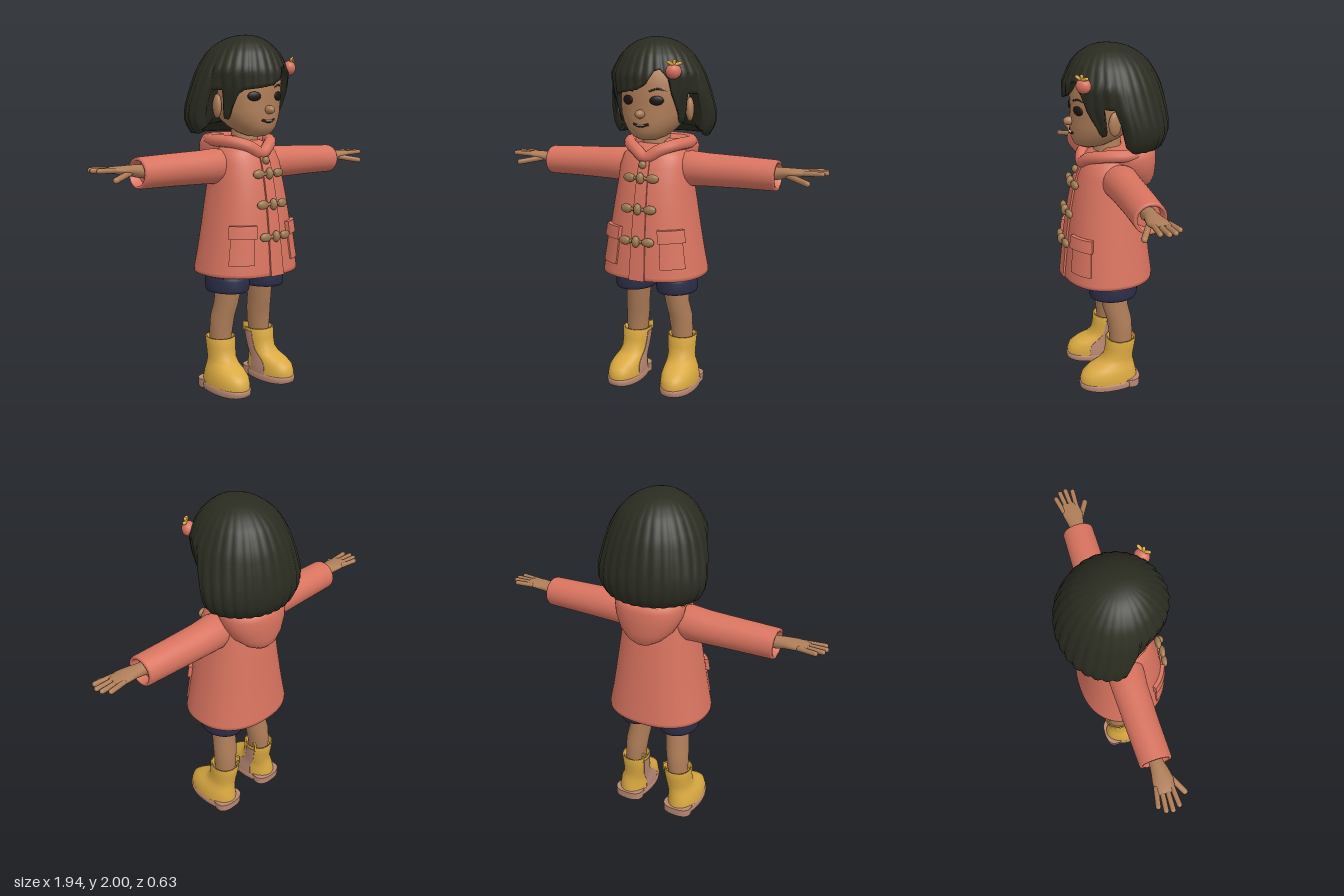
import * as THREE from 'three';

const mat = (name, color) => {
  const m = new THREE.MeshStandardMaterial({ color });
  m.name = name;
  return m;
};
const V = (x, y, z) => new THREE.Vector3(x, y, z);
const lerp = THREE.MathUtils.lerp;

// Interpolate a table of rows by its first column
function sample(rows, t) {
  let i = 0;
  while (i < rows.length - 2 && t > rows[i + 1][0]) i++;
  const a = rows[i], b = rows[i + 1];
  const k = THREE.MathUtils.clamp((t - a[0]) / (b[0] - a[0]), 0, 1);
  return a.map((v, j) => lerp(v, b[j], k));
}

// Point on a cross-section row [y, centre x, half width, front z, back z]; angle 0 faces +z
function ringPoint([y, cx, rx, zf, zb], phi, power = 1, off = 0) {
  const s = Math.sin(phi), c = Math.cos(phi);
  const f = (v) => Math.sign(v) * Math.abs(v) ** power;
  return V(cx + (rx + off) * f(s), y, (zf + zb) / 2 + ((zf - zb) / 2 + off) * f(c));
}

// Skin a grid of points, wrapping round in the second direction
function skin(rings, caps = true) {
  const pos = [], idx = [], n = rings[0].length;
  const addRing = (r) => r.forEach((p) => pos.push(p.x, p.y, p.z));
  rings.forEach(addRing);
  for (let i = 0; i < rings.length - 1; i++) for (let j = 0; j < n; j++) {
    const a = i * n + j, b = i * n + (j + 1) % n;
    idx.push(a, b, b + n, a, b + n, a + n);
  }
  if (caps) [rings[0], rings[rings.length - 1]].forEach((r, e) => {
    const base = pos.length / 3, mid = V(0, 0, 0);
    addRing(r);
    r.forEach((p) => mid.addScaledVector(p, 1 / n));
    pos.push(mid.x, mid.y, mid.z);
    for (let j = 0; j < n; j++) {
      const a = base + j, b = base + (j + 1) % n;
      idx.push(base + n, ...(e ? [a, b] : [b, a]));
    }
  });
  const g = new THREE.BufferGeometry();
  g.setAttribute('position', new THREE.Float32BufferAttribute(pos, 3));
  g.setIndex(idx);
  g.computeVertexNormals();
  return g;
}
const loft = (rows, power = 1, n = 40) => skin(rows.map((r) =>
  Array.from({ length: n }, (_, j) => ringPoint(r, j / n * Math.PI * 2, power))));

// Thin curved panel lying on a lofted surface
function panel(rows, power, phi0, phi1, y0, y1, thick) {
  const g = new THREE.BoxGeometry(1, 1, 1, 10, 12, 1), p = g.attributes.position;
  for (let i = 0; i < p.count; i++) {
    const y = lerp(y0, y1, p.getY(i) + 0.5);
    const q = ringPoint(sample(rows, y), lerp(phi0, phi1, p.getX(i) + 0.5), power, p.getZ(i) > 0 ? thick : -0.01);
    p.setXYZ(i, q.x, q.y, q.z);
  }
  g.computeVertexNormals();
  return g;
}
const ball = (x, y, z, rx, ry, rz, turn = 0) =>
  new THREE.SphereGeometry(1, 24, 16).scale(rx, ry, rz).rotateY(turn).translate(x, y, z);
function limb(a, b, r) {
  const d = b.clone().sub(a), g = new THREE.CapsuleGeometry(r, d.length(), 5, 12);
  g.applyQuaternion(new THREE.Quaternion().setFromUnitVectors(V(0, 1, 0), d.clone().normalize()));
  const m = a.clone().add(b).multiplyScalar(0.5);
  return g.translate(m.x, m.y, m.z);
}
const tube = (pts, r, closed = false) =>
  new THREE.TubeGeometry(new THREE.CatmullRomCurve3(pts, closed), 48, r, 10, closed);

// Hair outline by sqrt of depth below the crown: [d, half width, front z, back z]
const HAIR = [[0, 0, 0.03, 0.03], [0.14, 0.1, 0.125, -0.09], [0.22, 0.15, 0.17, -0.145], [0.316, 0.205, 0.218, -0.205],
  [0.447, 0.262, 0.262, -0.262], [0.55, 0.293, 0.262, -0.293], [0.632, 0.312, 0.225, -0.31], [0.69, 0.308, 0.2, -0.308], [0.735, 0.268, 0.19, -0.28]];
// Lower edge of the hair by angle in degrees, for each side of the face
const HEM_SIDE = [[50, 1.6], [53, 1.54], [60, 1.55], [65, 1.7], [76, 1.7], [80, 1.5], [90, 1.465], [180, 1.46]];
const HEM_RIGHT = [[0, 1.725], [20, 1.71], [38, 1.7], [45, 1.68], ...HEM_SIDE];
const HEM_LEFT = [[0, 1.725], [10, 1.75], [20, 1.82], [27, 1.83], [38, 1.77], ...HEM_SIDE];

function hairGeometry() {
  const n = 180, rows = 26, rings = [];
  const point = (phi, y, v, shrink) => {
    const [, w, zf, zb] = sample(HAIR, Math.sqrt(Math.max(0, 2 - y)));
    const k = THREE.MathUtils.smoothstep(Math.abs(phi), 1.1, 1.6);
    const rx = lerp(Math.min(w, 0.26 - (1.8 - y) * 0.15), w, k);
    const r = shrink * (1 + 0.035 * v * (Math.abs(Math.cos(phi * 15)) - 0.7));
    return V(rx * r * Math.sin(phi), y, (zf + zb) / 2 + (zf - zb) / 2 * r * Math.cos(phi));
  };
  const ring = (v, shrink, lift) => Array.from({ length: n }, (_, j) => {
    const phi = (j / n * 2 - 1) * Math.PI;
    const hem = sample(phi < 0 ? HEM_RIGHT : HEM_LEFT, Math.abs(phi) * 180 / Math.PI)[1];
    return point(phi, 2 - (2 - hem) * v * v + lift, v, shrink);
  });
  [[0.2, 0.07], [0.7, 0.05], [0.93, 0.005]].forEach(([s, l]) => rings.push(ring(1, s, l)));
  for (let i = rows; i >= 0; i--) rings.push(ring(i / rows, 1, 0));
  return skin(rings, false);
}

export function createModel() {
  const model = new THREE.Group();
  model.name = 'childInCoat';
  const coat = mat('coral', 0xd8735f), hair = mat('darkHair', 0x2a2b20), skinTone = mat('skin', 0xae7d58),
    boot = mat('yellow', 0xdaa941), navy = mat('navy', 0x2b2d47), sole = mat('rubberTan', 0xb98873),
    wood = mat('wood', 0x9d7a52), dark = mat('eyeDark', 0x1d1612), lip = mat('teeth', 0xd9c4b4);
  const add = (name, g, m) => {
    const mesh = new THREE.Mesh(g, m);
    mesh.name = name;
    model.add(mesh);
  };
  const pair = (name, g, m) => {
    add(name + 'Left', g, m);
    const f = g.clone().scale(-1, 1, 1), ix = f.index.array;
    for (let i = 0; i < ix.length; i += 3) [ix[i], ix[i + 1]] = [ix[i + 1], ix[i]];
    add(name + 'Right', f, m);
  };

  // Head and face
  add('head', loft([[1.45, 0, 0.045, 0.17, 0.08], [1.468, 0, 0.09, 0.205, 0.02], [1.5, 0, 0.128, 0.222, -0.05], [1.54, 0, 0.16, 0.225, -0.1],
    [1.59, 0, 0.183, 0.225, -0.13], [1.66, 0, 0.195, 0.22, -0.15], [1.75, 0, 0.2, 0.225, -0.16],
    [1.84, 0, 0.175, 0.2, -0.15], [1.9, 0, 0.11, 0.13, -0.1]], 1, 48), skinTone);
  add('neck', new THREE.CylinderGeometry(0.07, 0.085, 0.16, 24).translate(0, 1.44, 0.02), skinTone);
  add('nose', ball(0, 1.595, 0.232, 0.026, 0.024, 0.034), skinTone);
  pair('ear', ball(0.205, 1.615, 0.035, 0.022, 0.065, 0.038, 0.3), skinTone);
  pair('eye', ball(0.085, 1.667, 0.203, 0.038, 0.025, 0.011, 0.42), dark);
  pair('eyebrow', tube([V(0.045, 1.715, 0.216), V(0.09, 1.728, 0.202), V(0.13, 1.715, 0.17)], 0.005), hair);
  add('mouth', tube([V(-0.045, 1.542, 0.215), V(0, 1.53, 0.226), V(0.045, 1.542, 0.215)], 0.007), dark);
  add('teeth', ball(0, 1.535, 0.226, 0.026, 0.005, 0.008), lip);
  add('hair', hairGeometry(), hair);

  // Fruit hair clip
  add('clipFruit', ball(0.178, 1.82, 0.195, 0.042, 0.04, 0.035, 0.7), coat);
  for (const a of [-0.02, 0.005, 0.03])
    add('clipLeaf', limb(V(0.183, 1.852, 0.205), V(0.183 + a, 1.875 - Math.abs(a) * 0.4, 0.21 - a * 0.8), 0.009), boot);

  // Coat body, placket and pockets
  const COAT = [[0.69, 0, 0.3, 0.29, -0.225], [0.71, 0, 0.3, 0.288, -0.225], [0.82, 0, 0.278, 0.276, -0.21], [0.95, 0, 0.256, 0.262, -0.195],
    [1.1, 0, 0.232, 0.24, -0.178], [1.2, 0, 0.215, 0.22, -0.165], [1.3, 0, 0.205, 0.195, -0.152], [1.36, 0, 0.188, 0.168, -0.14],
    [1.4, 0, 0.15, 0.14, -0.12], [1.425, 0, 0.09, 0.1, -0.08]];
  const lining = [[0.8, 0, 0.25, 0.245, -0.18], [0.7, 0, 0.28, 0.27, -0.205], [0.69, 0, 0.285, 0.277, -0.212]];
  add('coatBody', loft([...lining, ...COAT], 0.88, 64), coat);
  add('placket', panel(COAT, 0.88, -0.1, 0.13, 0.69, 1.37, 0.012), coat);
  pair('pocket', panel(COAT, 0.88, 0.42, 0.98, 0.76, 0.93, 0.008), coat);
  pair('pocketFlap', panel(COAT, 0.88, 0.38, 1.02, 0.905, 0.975, 0.022), coat);

  // Hood lying on the back, with its rim round the neck
  add('hood', loft([[1.195, 0, 0.05, -0.14, -0.21], [1.22, 0, 0.1, -0.08, -0.232], [1.27, 0, 0.155, 0, -0.246], [1.34, 0, 0.19, 0.05, -0.25],
    [1.4, 0, 0.2, 0.07, -0.248], [1.435, 0, 0.188, 0.07, -0.235], [1.45, 0, 0.15, 0.05, -0.19]], 0.95, 48), coat);
  add('hoodRim', tube([V(0, 1.355, 0.165), V(0.07, 1.395, 0.145), V(0.14, 1.42, 0.075), V(0.17, 1.425, -0.05), V(0.1, 1.425, -0.18),
    V(-0.1, 1.425, -0.18), V(-0.17, 1.425, -0.05), V(-0.14, 1.42, 0.075), V(-0.07, 1.395, 0.145)], 0.034, true), coat);

  // Wooden toggles and top button
  for (const y of [1.25, 1.085, 0.91]) {
    const z = sample(COAT, y)[3] + 0.02;
    add('toggleCentre', ball(0, y, z + 0.006, 0.022, 0.032, 0.022), wood);
    add('toggleCord', limb(V(-0.07, y, z), V(0.07, y, z), 0.01), wood);
    pair('toggleEnd', ball(0.07, y, z - 0.002, 0.036, 0.025, 0.018, 0.12), wood);
  }
  add('topButton', ball(0, 1.32, 0.205, 0.022, 0.022, 0.018), wood);

  // Sleeves with an open cuff, drawn upright then laid along x
  pair('sleeve', loft([[0.12, -1.3, 0.07, 0.08, -0.08], [0.2, -1.286, 0.098, 0.1, -0.1], [0.3, -1.284, 0.092, 0.09, -0.097],
    [0.5, -1.283, 0.087, 0.086, -0.092], [0.69, -1.28, 0.083, 0.088, -0.086], [0.7, -1.28, 0.08, 0.085, -0.083],
    [0.7, -1.28, 0.066, 0.07, -0.068], [0.65, -1.28, 0.06, 0.065, -0.062]], 1, 40).rotateZ(-Math.PI / 2), coat);

  // Hands
  pair('palm', loft([[0.63, -1.285, 0.038, 0.04, -0.04], [0.7, -1.292, 0.034, 0.038, -0.036], [0.75, -1.298, 0.028, 0.05, -0.042],
    [0.8, -1.302, 0.023, 0.058, -0.052], [0.85, -1.306, 0.017, 0.05, -0.055], [0.87, -1.307, 0.011, 0.042, -0.05]], 1, 28).rotateZ(-Math.PI / 2), skinTone);
  [[-0.043, 0.92, -0.062], [-0.017, 0.95, -0.03], [0.01, 0.957, 0.004], [0.036, 0.942, 0.042]].forEach(([z0, x1, z1], i) =>
    pair('finger' + (i + 1), limb(V(0.83, 1.306, z0), V(x1, 1.31, z1), 0.0135), skinTone));
  pair('thumb', limb(V(0.76, 1.288, 0.03), V(0.88, 1.264, 0.095), 0.016), skinTone);

  // Shorts with turned-up cuffs, and legs
  pair('shorts', loft([[0.6, 0.13, 0.105, 0.145, -0.1], [0.7, 0.122, 0.115, 0.155, -0.115], [0.79, 0.115, 0.118, 0.15, -0.12]]), navy);
  pair('shortsCuff', loft([[0.58, 0.13, 0.1, 0.145, -0.1], [0.582, 0.13, 0.112, 0.158, -0.112], [0.6, 0.13, 0.116, 0.163, -0.116],
    [0.65, 0.127, 0.118, 0.163, -0.118], [0.665, 0.126, 0.112, 0.155, -0.112]]), navy);
  pair('leg', loft([[0.25, 0.148, 0.058, 0.045, -0.085], [0.34, 0.143, 0.064, 0.052, -0.088], [0.42, 0.137, 0.068, 0.062, -0.084],
    [0.5, 0.126, 0.067, 0.084, -0.066], [0.62, 0.115, 0.075, 0.1, -0.06]]), skinTone);

  // Rain boots: upper, inner side panel, pull tab and sole
  const BOOT = [[0.025, 0.17, 0.096, 0.232, -0.11], [0.06, 0.17, 0.098, 0.236, -0.108], [0.1, 0.168, 0.094, 0.222, -0.1], [0.13, 0.163, 0.086, 0.18, -0.094],
    [0.155, 0.156, 0.079, 0.12, -0.09], [0.185, 0.151, 0.077, 0.086, -0.09], [0.24, 0.148, 0.08, 0.074, -0.1], [0.3, 0.147, 0.085, 0.07, -0.108]];
  pair('bootUpper', loft([...BOOT, [0.3, 0.147, 0.074, 0.058, -0.096], [0.265, 0.147, 0.068, 0.052, -0.09]], 0.95), boot);
  pair('bootSidePanel', panel(BOOT, 0.95, -2.0, -1.3, 0.04, 0.285, 0.003), sole);
  pair('bootTab', new THREE.BoxGeometry(0.012, 0.05, 0.035).rotateY(0.5).translate(0.078, 0.305, -0.055), boot);
  pair('bootSole', loft([[0, 0.17, 0.096, 0.225, -0.115], [0.008, 0.17, 0.101, 0.238, -0.12], [0.034, 0.17, 0.102, 0.242, -0.12], [0.042, 0.17, 0.096, 0.232, -0.113]], 0.92), sole);
  pair('bootHeel', loft([[0, 0.17, 0.088, -0.01, -0.12], [0.05, 0.17, 0.09, 0, -0.123]], 0.8), sole);
  return model;
}
